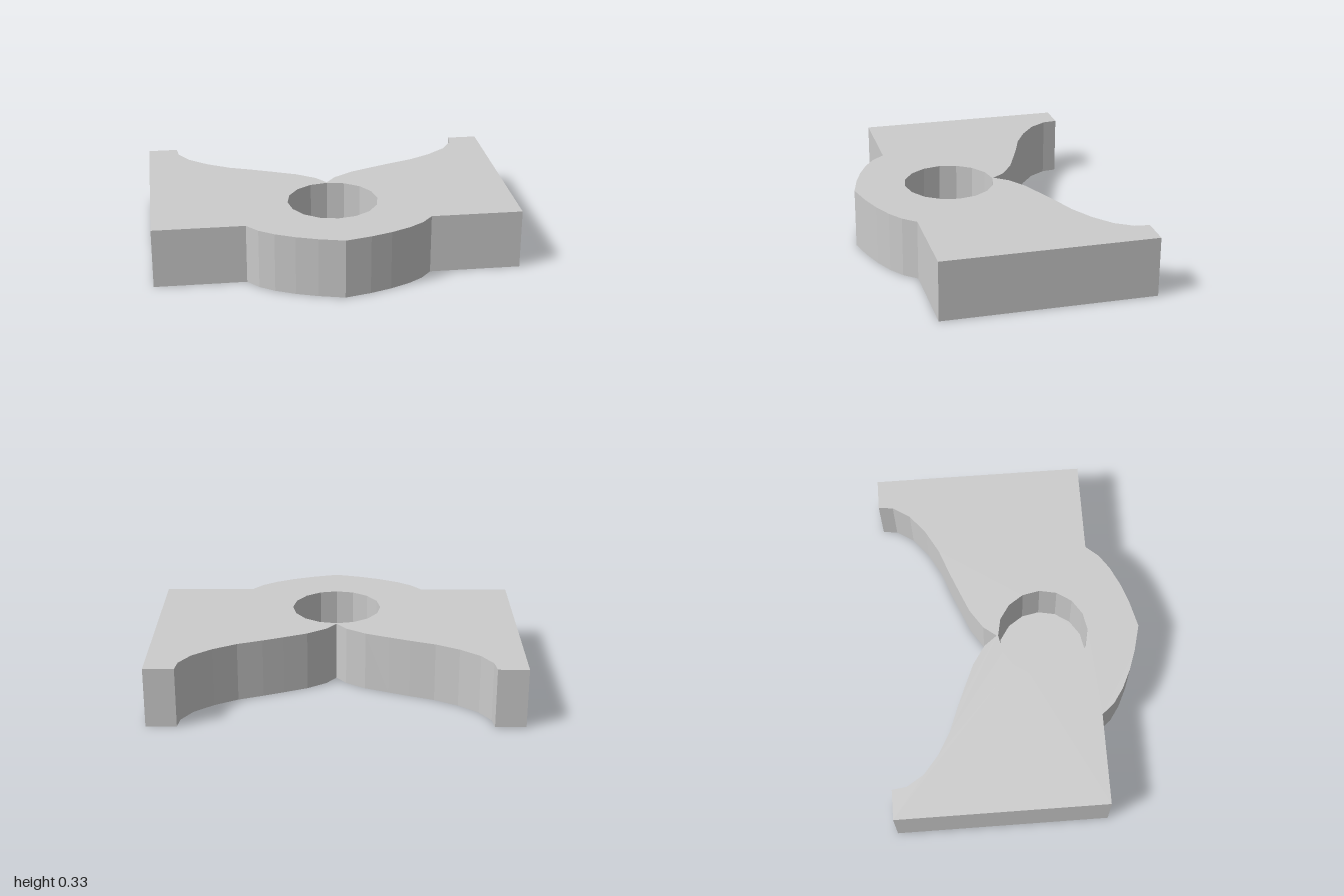
import * as THREE from 'three';

const HEIGHT = 0.33;
const HOLE = { z: 0.17, radius: 0.25, sides: 16 };

// Left half of the plan as [x, z], from the front tip round to the rear notch
const HALF = [
  [0, 0.705], [0.14, 0.67], [0.255, 0.63], [0.36, 0.58], [0.44, 0.525], [0.5, 0.455],
  [1, 0.455], [1, -0.71], [0.835, -0.71],
  [0.825, -0.63], [0.765, -0.535], [0.66, -0.45], [0.535, -0.38],
  [0.4, -0.33], [0.29, -0.285], [0.16, -0.23], [0.055, -0.16], [0, -0.088],
];

// Plan shapes are drawn with y = -z, then laid flat
const toPlan = ([x, z]) => new THREE.Vector2(x, -z);

export function createModel() {
  const group = new THREE.Group();
  group.name = 'notchedBlock';
  const material = new THREE.MeshStandardMaterial({ color: 0xcccccc, flatShading: true });

  // Mirrored outline; the two centre points are shared
  const mirrored = HALF.slice(1, -1).reverse().map(([x, z]) => [-x, z]);
  const outline = new THREE.Shape([...HALF, ...mirrored].map(toPlan));

  // Faceted round socket
  const ring = Array.from({ length: HOLE.sides }, (_, i) => {
    const a = (i / HOLE.sides) * Math.PI * 2;
    return toPlan([HOLE.radius * Math.cos(a), HOLE.z + HOLE.radius * Math.sin(a)]);
  });
  outline.holes.push(new THREE.Path(ring));

  const bodyGeometry = new THREE.ExtrudeGeometry(outline, { depth: HEIGHT, bevelEnabled: false });
  bodyGeometry.rotateX(-Math.PI / 2);
  const body = new THREE.Mesh(bodyGeometry, material);
  body.name = 'body';
  group.add(body);

  // Thin floor closing the socket at the underside
  const floorMaterial = material.clone();
  floorMaterial.side = THREE.DoubleSide;
  const floor = new THREE.Mesh(new THREE.ShapeGeometry(new THREE.Shape(ring)), floorMaterial);
  floor.name = 'socketFloor';
  floor.rotation.x = -Math.PI / 2;
  group.add(floor);

  return group;
}
